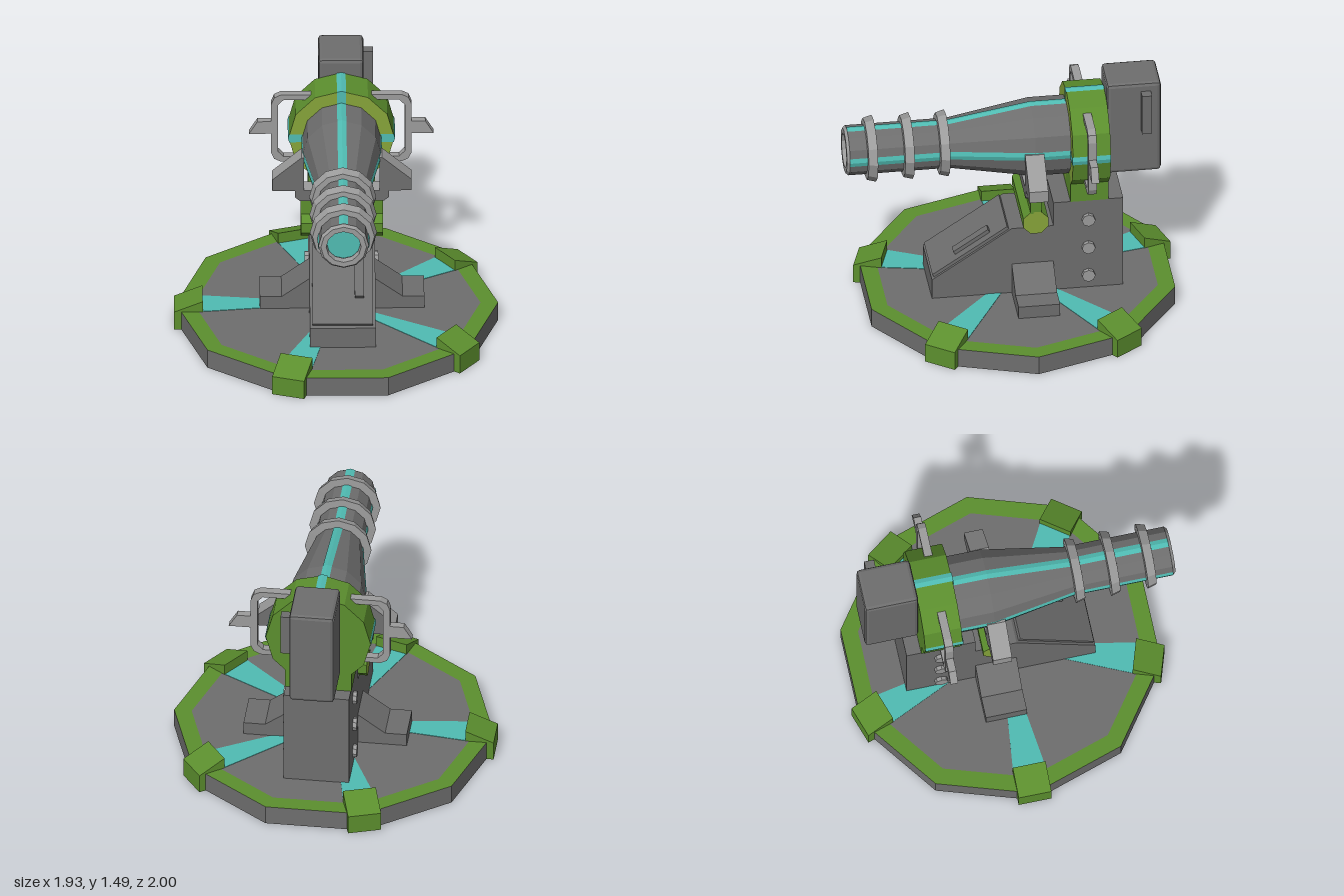
import * as THREE from 'three';
import { RoundedBoxGeometry } from 'three/addons/geometries/RoundedBoxGeometry.js';

const mat = (name, color) => {
  const m = new THREE.MeshStandardMaterial({ color, side: THREE.DoubleSide });
  m.name = name;
  return m;
};

export function createModel() {
  const grey = mat('dark grey', 0x6e6e6e);
  const light = mat('light grey', 0x9c9c9c);
  const green = mat('green', 0x5c8f2e);
  const olive = mat('olive', 0x87a53a);
  const cyan = mat('cyan', 0x50bcb3);

  // Faceted mesh helper
  const add = (parent, name, geo, material, x = 0, y = 0, z = 0) => {
    const g = geo.index ? geo.toNonIndexed() : geo;
    g.computeVertexNormals();
    const m = new THREE.Mesh(g, material);
    m.name = name;
    m.position.set(x, y, z);
    parent.add(m);
    return m;
  };
  const group = (parent, name, x = 0, y = 0, z = 0) => {
    const g = new THREE.Group();
    g.name = name;
    g.position.set(x, y, z);
    if (parent) parent.add(g);
    return g;
  };
  const box = (w, h, d) => new THREE.BoxGeometry(w, h, d);
  // Outline in x,y, extruded evenly about z = 0
  const slab = (pts, depth) => {
    const shape = new THREE.Shape(pts.map(p => new THREE.Vector2(...p)));
    const g = new THREE.ExtrudeGeometry(shape, { depth, bevelEnabled: false });
    return g.translate(0, 0, -depth / 2);
  };
  const mirrorX = pts => pts.map(([x, y]) => [-x, y]);
  // Twelve-sided lathe along z from [radius, z] pairs running back to front
  const turned = pts =>
    new THREE.LatheGeometry(pts.map(p => new THREE.Vector2(...p)), 12).rotateX(Math.PI / 2);

  const root = group(null, 'mountedCannon');

  // Round base: open-bottomed shell with rim, spokes and clamps
  const base = group(root, 'base', 0, 0, -0.04);
  add(base, 'baseWall',
    new THREE.CylinderGeometry(0.96, 0.96, 0.12, 10, 1, true, Math.PI / 2), grey, 0, 0.06, 0);
  add(base, 'baseRim', new THREE.RingGeometry(0.855, 0.96, 10).rotateX(-Math.PI / 2), green, 0, 0.12, 0);
  add(base, 'baseTop', new THREE.CircleGeometry(0.855, 10).rotateX(-Math.PI / 2), grey, 0, 0.12, 0);
  const spoke = [[0.07, -0.012], [0.82, -0.1], [0.82, 0.1], [0.07, 0.012]];
  const clamp = [[0.97, 0], [0.97, 0.12], [0.8, 0.19], [0.8, 0.115], [0.9, 0.115], [0.9, 0]];
  for (let i = 0; i < 5; i++) {
    const arm = group(base, 'baseSpoke' + i);
    arm.rotation.y = Math.PI + i * Math.PI * 0.4;
    add(arm, 'spokeStripe', slab(spoke, 0.006).rotateX(-Math.PI / 2), cyan, 0, 0.12, 0);
    add(arm, 'clamp', slab(clamp, 0.2), green);
  }

  // Everything above the base shares a centre line
  const top = group(root, 'turret', 0.03, 0, 0);

  // Pedestal with sloping front
  const profile = [[0.5, 0.12], [0.5, 0.25], [0.02, 0.57], [-0.23, 0.57], [-0.23, 0.73], [-0.65, 0.73], [-0.65, 0.12]];
  add(top, 'pedestal', slab(profile, 0.392).rotateY(-Math.PI / 2), grey);
  const slope = group(top, 'slopePanels', 0, 0.41, 0.26);
  slope.rotation.x = Math.atan2(0.32, 0.48);
  add(slope, 'frontPanel', box(0.36, 0.04, 0.54), grey);
  add(slope, 'hatch', box(0.055, 0.05, 0.25), grey, 0.1, 0.018, -0.03);

  // Side feet, bolts
  const foot = [[0.19, 0.12], [0.49, 0.12], [0.49, 0.2], [0.36, 0.2], [0.19, 0.325]];
  for (const s of [1, -1]) {
    add(top, 'sideFoot', slab(s > 0 ? foot : mirrorX(foot), 0.25), grey, 0, 0, -0.105);
    for (const y of [0.21, 0.405, 0.6]) {
      add(top, 'bolt', new THREE.CylinderGeometry(0.04, 0.04, 0.04, 8).rotateZ(Math.PI / 2),
        light, s * 0.2, y, -0.44);
    }
  }

  // Pivot roller and its upright
  add(top, 'pivotRoller',
    new THREE.CylinderGeometry(0.081, 0.081, 0.49, 8, 1, false, Math.PI / 8).rotateZ(Math.PI / 2),
    [green, olive, olive], 0, 0.63, -0.118);
  add(top, 'pivotUpright', box(0.49, 0.13, 0.065), green, 0, 0.76, -0.118);

  // Cradle under the barrel
  const tray = [[-0.25, 0.81], [0.25, 0.81], [0.28, 0.835], [0.28, 0.88], [-0.28, 0.88], [-0.28, 0.835]];
  add(top, 'cradleTray', slab(tray, 0.115), [grey, light], 0, 0, -0.112);
  const cheek = [[0.225, 0.88], [0.415, 0.88], [0.415, 0.955], [0.24, 1.105], [0.225, 1.105]];

  // Carrying handles with outer fins
  const handle = [[0.16, 1.335], [0.36, 1.335], [0.4, 1.315], [0.418, 1.27], [0.418, 0.94],
    [0.4, 0.9], [0.36, 0.88], [0.16, 0.88], [0.16, 0.915], [0.345, 0.915], [0.378, 0.95],
    [0.378, 1.265], [0.345, 1.3], [0.16, 1.3]];
  const fin = [[0.4, 1.07], [0.55, 1.07], [0.5, 1.152], [0.4, 1.152]];
  for (const s of [1, -1]) {
    const side = pts => (s > 0 ? pts : mirrorX(pts));
    add(top, 'cradleCheek', slab(side(cheek), 0.115), [grey, light], 0, 0, -0.112);
    add(top, 'handle', slab(side(handle), 0.05), light, 0, 0, -0.435);
    add(top, 'handleFin', slab(side(fin), 0.046), light, 0, 0, -0.435);
  }

  // Barrel with muzzle bore and bands
  const gun = group(top, 'gun', 0, 1.085, 0);
  add(gun, 'barrel', turned([[0.235, -0.4], [0.235, -0.12], [0.15, 0.38], [0.15, 0.985],
    [0.135, 1], [0.105, 1], [0.1, 0.96]]), grey);
  add(gun, 'muzzleRing', turned([[0.15, 0.986], [0.136, 1.002], [0.104, 1.002], [0.1, 0.965]]), light);
  add(gun, 'muzzleCore', new THREE.CircleGeometry(0.102, 12), cyan, 0, 0, 0.955);
  for (const z of [0.85, 0.63, 0.415]) {
    add(gun, 'barrelBand', turned([[0.145, z - 0.03], [0.2, z - 0.027], [0.185, z + 0.027], [0.145, z + 0.03]]), light);
  }

  // Rear collar and its seat on the pedestal
  add(gun, 'collar', new THREE.CylinderGeometry(0.315, 0.315, 0.228, 12).rotateX(Math.PI / 2),
    [green, olive, green], 0, 0, -0.447);
  add(top, 'collarSeat', box(0.4, 0.17, 0.228), green, 0, 0.815, -0.447);

  // Stripes folded over the top and side corners of the barrel and collar
  const path = [[0.985, 0.15], [0.38, 0.15], [-0.12, 0.235], [-0.328, 0.235], [-0.328, 0.315], [-0.56, 0.315]];
  const stripe = () => {
    const pos = [], idx = [], half = 0.027;
    path.forEach(([z, r], i) => {
      for (const u of [-half, 0, half]) pos.push(u, r + 0.004 - Math.abs(u) * Math.tan(Math.PI / 12), z);
      if (i === path.length - 1) return;
      for (let j = 0; j < 2; j++) {
        const a = i * 3 + j;
        idx.push(a, a + 1, a + 3, a + 1, a + 4, a + 3);
      }
    });
    const g = new THREE.BufferGeometry();
    g.setAttribute('position', new THREE.Float32BufferAttribute(pos, 3));
    g.setIndex(idx);
    return g;
  };
  for (const k of [-1, 0, 1]) add(gun, 'stripe', stripe(), cyan).rotation.z = k * Math.PI / 2;

  // Rear power pack
  add(top, 'rearPack', new RoundedBoxGeometry(0.27, 0.62, 0.325, 1, 0.022), grey, 0, 1.175, -0.725);
  add(top, 'packLatch', box(0.07, 0.265, 0.06), grey, 0.158, 1.297, -0.795);

  return root;
}
